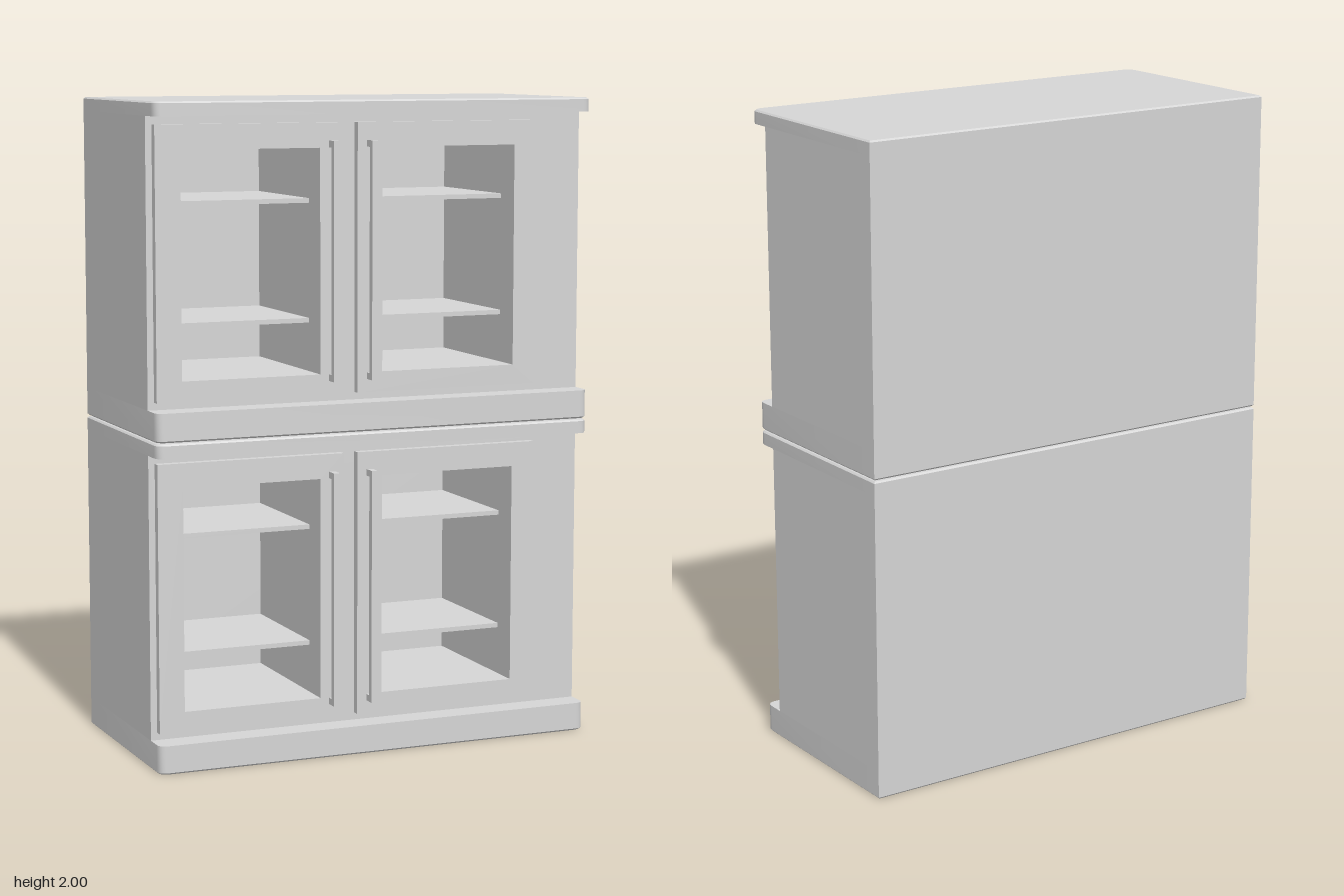
import * as THREE from 'three';
import { toCreasedNormals } from 'three/addons/utils/BufferGeometryUtils.js';

const W = 0.712, D = 0.337;     // half width, half depth
const FRONT = 0.255;            // carcass front plane
const BACK = -0.23;             // cavity back plane
const WIN_Y = [0.175, 0.857];   // cavity and door window height

export function createModel() {
  const grey = new THREE.MeshStandardMaterial({ color: 0xd6d6d6 });
  grey.name = 'cabinet light grey';

  const mesh = (geometry, name) => {
    const m = new THREE.Mesh(geometry, grey);
    m.name = name;
    return m;
  };

  const box = (name, x0, x1, y0, y1, z0, z1) => {
    const m = mesh(new THREE.BoxGeometry(x1 - x0, y1 - y0, z1 - z0), name);
    m.position.set((x0 + x1) / 2, (y0 + y1) / 2, (z0 + z1) / 2);
    return m;
  };

  const rect = (path, x0, x1, y0, y1) => {
    path.moveTo(x0, y0);
    path.lineTo(x1, y0);
    path.lineTo(x1, y1);
    path.lineTo(x0, y1);
    path.closePath();
    return path;
  };

  // Rectangular panel with rectangular holes
  const panel = (name, outer, holes, z0, z1) => {
    const shape = rect(new THREE.Shape(), ...outer);
    holes.forEach(h => shape.holes.push(rect(new THREE.Path(), ...h)));
    const g = new THREE.ExtrudeGeometry(shape, { depth: z1 - z0, bevelEnabled: false });
    return mesh(g.translate(0, 0, z0), name);
  };

  // Full-depth slab, rounded front corners, chamfered at its outer rim
  const slab = (name, y0, y1, chamferTop) => {
    const r = 0.03, c = 0.005;
    const s = new THREE.Shape();
    s.moveTo(-W, D);
    s.lineTo(-W, -D + r);
    s.quadraticCurveTo(-W, -D, -W + r, -D);
    s.lineTo(W - r, -D);
    s.quadraticCurveTo(W, -D, W, -D + r);
    s.lineTo(W, D);
    s.closePath();
    const g = new THREE.ExtrudeGeometry(s, { depth: 1, steps: 2, bevelEnabled: false, curveSegments: 5 });
    g.rotateX(-Math.PI / 2);
    const p = g.attributes.position;
    for (let i = 0; i < p.count; i++) {
      const t = p.getY(i);
      const mid = t > 0.25 && t < 0.75;
      const rim = chamferTop ? t > 0.75 : t < 0.25;
      p.setY(i, mid ? (chamferTop ? y1 - c : y0 + c) : t < 0.5 ? y0 : y1);
      if (rim) {
        p.setX(i, p.getX(i) * (1 - c / W));
        p.setZ(i, p.getZ(i) * (1 - c / D));
      }
    }
    return mesh(toCreasedNormals(g, 0.6), name);
  };

  // Door extents, window extents and handle position, left to right
  const bays = [
    { door: [-0.692, -0.092], win: [-0.612, -0.17], handle: [-0.142, -0.122] },
    { door: [-0.048, 0.552], win: [0.034, 0.477], handle: [-0.017, 0.002] },
  ];

  const makeUnit = name => {
    const unit = new THREE.Group();
    unit.name = name;
    unit.add(slab('plinth', 0.002, 0.09, false), slab('topSlab', 0.957, 1, true));

    // Carcass with two open cavities, closed by a back panel
    unit.add(panel('carcass', [-W, W, 0.09, 0.957], bays.map(b => [...b.win, ...WIN_Y]), BACK, FRONT));
    unit.add(box('backPanel', -W, W, 0.09, 0.957, -D, BACK));

    for (const { door, win, handle } of bays) {
      unit.add(panel('door', [...door, 0.113, 0.932], [[...win, ...WIN_Y]], FRONT, 0.28));
      for (const y of [0.324, 0.688]) {
        unit.add(box('shelf', ...win, y, y + 0.014, BACK, 0.19));
      }
      // Bar handle on two end posts
      const grip = new THREE.Group();
      grip.name = 'doorHandle';
      grip.add(box('handleBar', ...handle, 0.154, 0.878, 0.3, 0.32));
      for (const y of [0.154, 0.858]) {
        grip.add(box('handlePost', ...handle, y, y + 0.02, 0.28, 0.3));
      }
      unit.add(grip);
    }
    return unit;
  };

  const model = new THREE.Group();
  model.name = 'stackedCabinet';
  const lower = makeUnit('lowerCabinet');
  const upper = makeUnit('upperCabinet');
  lower.position.y = -0.002;
  upper.position.y = 1;
  model.add(lower, upper);
  return model;
}
